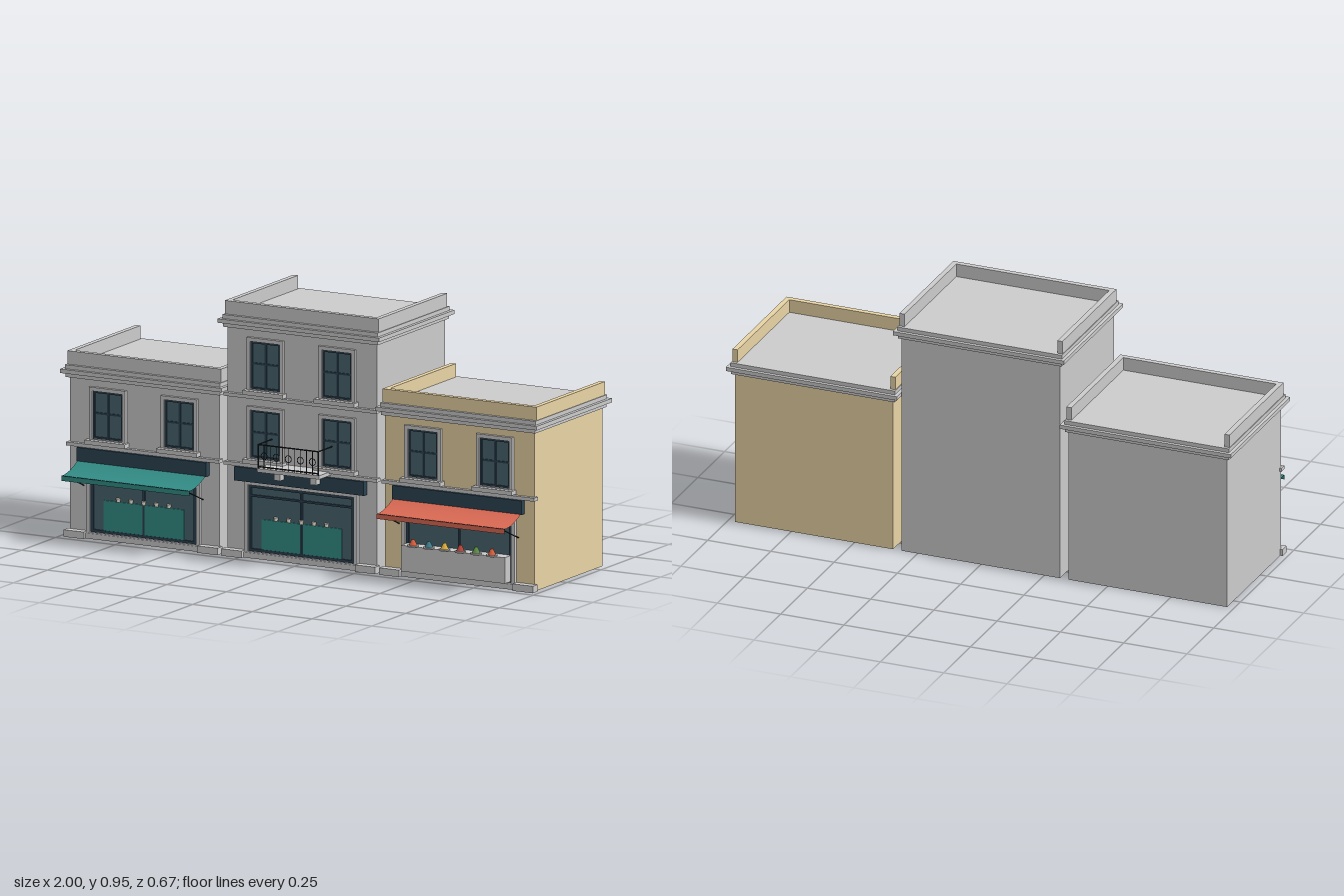
import * as THREE from 'three';

const mat = (color, side = THREE.FrontSide) => new THREE.MeshStandardMaterial({ color, side });
const GREY = mat(0xcccccc), TAN = mat(0xe8d3a5), GLASS = mat(0x47656f), DARK = mat(0x2b4050),
  NAVY = mat(0x2c4353), TEAL = mat(0x338d87), IRON = mat(0x1c2226), CREAM = mat(0xeee6d6);
const CLOTH = { teal: mat(0x338d87, THREE.DoubleSide), red: mat(0xdb6a54, THREE.DoubleSide) };
const SPICE = [0xd9603f, 0x3f7f8f, 0xe2b23c, 0xb8443a, 0x5f8f4a, 0xd9603f].map((c) => mat(c));
const BACK = -0.31, FRONT = 0.192;

function add(parent, name, geometry, material, x = 0, y = 0, z = 0) {
  const mesh = new THREE.Mesh(geometry, material);
  mesh.name = name;
  mesh.position.set(x, y, z);
  parent.add(mesh);
  return mesh;
}

// Box given by its limits on each axis
function block(parent, name, material, x0, x1, y0, y1, z0, z1) {
  return add(parent, name, new THREE.BoxGeometry(x1 - x0, y1 - y0, z1 - z0), material,
    (x0 + x1) / 2, (y0 + y1) / 2, (z0 + z1) / 2);
}

// Thin round bar between two points
function bar(parent, name, a, b, r, material = IRON) {
  const path = new THREE.LineCurve3(new THREE.Vector3(...a), new THREE.Vector3(...b));
  return add(parent, name, new THREE.TubeGeometry(path, 1, r, 6), material);
}

// Rectangular frame of border t around an opening
function frame(parent, name, material, w, y0, y1, t, z0, z1) {
  const rect = (Kind, hw, a, b) => new Kind([[-hw, a], [hw, a], [hw, b], [-hw, b]].map((p) => new THREE.Vector2(...p)));
  const shape = rect(THREE.Shape, w + t, y0 - t, y1 + t);
  shape.holes.push(rect(THREE.Path, w, y0, y1));
  return add(parent, name, new THREE.ExtrudeGeometry(shape, { depth: z1 - z0, bevelEnabled: false }), material, 0, 0, z0);
}

function addWindow(parent, x, base) {
  const g = new THREE.Group();
  g.name = 'window';
  g.position.set(x, base, 0);
  block(g, 'windowPane', GLASS, -0.06, 0.06, 0.02, 0.2, 0.185, 0.194);
  frame(g, 'windowSurround', GREY, 0.062, 0.02, 0.197, 0.014, 0.185, 0.205);
  frame(g, 'windowSash', DARK, 0.055, 0.027, 0.19, 0.007, 0.185, 0.199);
  block(g, 'windowMullion', DARK, -0.004, 0.004, 0.02, 0.197, 0.19, 0.198);
  block(g, 'windowTransom', DARK, -0.06, 0.06, 0.111, 0.118, 0.19, 0.198);
  block(g, 'windowSill', GREY, -0.085, 0.085, 0, 0.016, 0.185, 0.224);
  parent.add(g);
}

// Three-step cornice with a parapet on the front and sides
function addRoof(parent, y, material) {
  [[0, 0.016, 0.01], [0.016, 0.031, 0.025], [0.031, 0.046, 0.012]].forEach(([a, b, o]) =>
    block(parent, 'cornice', GREY, -0.313 - o, 0.313 + o, y + a, y + b, BACK - o, FRONT + o + 0.004));
  const top = y + 0.096, low = y + 0.046;
  block(parent, 'frontParapet', material, -0.322, 0.322, low, top, 0.174, 0.195);
  for (const s of [-1, 1]) {
    add(parent, 'sideParapet', new THREE.BoxGeometry(0.02, 0.05, 0.174 - BACK), material,
      s * 0.312, (low + top) / 2, (0.174 + BACK) / 2);
  }
}

function addShopfront(parent, counter) {
  block(parent, 'shopGlass', GLASS, -0.22, 0.22, 0.022, 0.275, 0.185, 0.194);
  frame(parent, 'shopSurround', GREY, 0.222, 0.025, 0.272, 0.015, 0.185, 0.205);
  frame(parent, 'shopFrame', DARK, 0.21, 0.035, 0.262, 0.011, 0.185, 0.2);
  block(parent, 'shopTransom', DARK, -0.215, 0.215, 0.228, 0.236, 0.19, 0.199);
  block(parent, 'shopMullion', DARK, -0.004, 0.004, 0.03, 0.265, 0.19, 0.2);
  block(parent, 'signBoard', NAVY, -0.271, 0.271, 0.285, 0.337, 0.19, 0.216);
  block(parent, 'doorstep', GREY, -0.24, 0.24, 0, 0.02, 0.185, 0.208);
  for (const s of [-1, 1]) {
    add(parent, 'plinth', new THREE.BoxGeometry(0.085, 0.026, 0.036), GREY, s * 0.28, 0.013, 0.204);
  }
  if (counter) {
    block(parent, 'displayCounter', TEAL, -0.168, 0.168, 0.035, 0.147, 0.19, 0.198);
    for (let i = -2; i <= 2; i++) {
      add(parent, 'displayCup', new THREE.CylinderGeometry(0.009, 0.006, 0.014, 8), CREAM, i * 0.053, 0.154, 0.199);
    }
  }
}

// Sagging cloth, hanging valance and two stays
function addAwning(parent, cloth) {
  const w = 0.268, n = 10;
  const geo = new THREE.PlaneGeometry(2 * w, 1, 1, n);
  const p = geo.attributes.position;
  for (let i = 0; i < p.count; i++) {
    const t = 0.5 - p.getY(i);
    p.setXYZ(i, p.getX(i), 0.253 + 0.038 * (1 - t) ** 2, 0.208 + 0.126 * t);
  }
  geo.computeVertexNormals();
  add(parent, 'awningCloth', geo, cloth);
  add(parent, 'awningValance', new THREE.PlaneGeometry(2 * w, 0.018), cloth, 0, 0.244, 0.334);
  for (const s of [-1, 1]) bar(parent, 'awningStay', [s * 0.25, 0.195, 0.2], [s * 0.25, 0.25, 0.327], 0.0022);
  bar(parent, 'awningFrontBar', [-w, 0.252, 0.331], [w, 0.252, 0.331], 0.0022);
}

function addBalcony(parent) {
  const g = new THREE.Group();
  g.name = 'balcony';
  block(g, 'balconySlab', GREY, -0.13, 0.13, 0.346, 0.36, 0.185, 0.297);
  const z = 0.295;
  for (const s of [-1, 1]) {
    add(g, 'balconyBracket', new THREE.BoxGeometry(0.025, 0.036, 0.055), GREY, s * 0.075, 0.328, 0.217);
    bar(g, 'sideRail', [s * 0.126, 0.449, 0.19], [s * 0.126, 0.449, z], 0.0026);
  }
  for (const y of [0.367, 0.449]) bar(g, 'frontRail', [-0.128, y, z], [0.128, y, z], 0.0026);
  for (let i = 0; i <= 10; i++) {
    const x = -0.126 + i * 0.0252;
    bar(g, 'baluster', [x, 0.36, z], [x, 0.449, z], i % 10 ? 0.0016 : 0.0026);
    if (i % 2 && i < 10) add(g, 'railRing', new THREE.TorusGeometry(0.013, 0.0015, 5, 14), IRON, x, 0.408, z);
  }
  parent.add(g);
}

// Front counter with a row of heaped spice dishes
function addSpiceStall(parent) {
  block(parent, 'stallCounter', GREY, -0.217, 0.217, 0.028, 0.125, 0.195, 0.243);
  SPICE.forEach((material, i) => {
    const x = (i - 2.5) * 0.066;
    add(parent, 'spiceDish', new THREE.CylinderGeometry(0.022, 0.02, 0.006, 14), GREY, x, 0.129, 0.247);
    add(parent, 'spiceHeap', new THREE.CylinderGeometry(0.005, 0.015, 0.022, 12), material, x, 0.143, 0.247);
  });
}

function addBuilding(root, name, x, storeys, material) {
  const g = new THREE.Group();
  g.name = name;
  g.position.x = x;
  const eaves = 0.592 + (storeys - 1) * 0.258;
  block(g, 'walls', material, -0.313, 0.313, 0, eaves + 0.01, BACK, FRONT);
  addRoof(g, eaves, material);
  for (let i = 0; i < storeys; i++) {
    const y = 0.338 + i * 0.256;
    block(g, 'stringCourse', GREY, -0.32, 0.32, y, y + 0.013, 0.18, 0.208);
    for (const s of [-1, 1]) addWindow(g, s * 0.15, 0.354 + i * 0.256);
  }
  root.add(g);
  return g;
}

export function createModel() {
  const root = new THREE.Group();
  root.name = 'shopRow';

  const left = addBuilding(root, 'tealAwningShop', -0.66, 1, GREY);
  addShopfront(left, true);
  addAwning(left, CLOTH.teal);

  const middle = addBuilding(root, 'balconyShop', 0, 2, GREY);
  addShopfront(middle, true);
  addBalcony(middle);

  const right = addBuilding(root, 'spiceShop', 0.66, 1, TAN);
  addShopfront(right, false);
  addAwning(right, CLOTH.red);
  addSpiceStall(right);

  return root;
}
